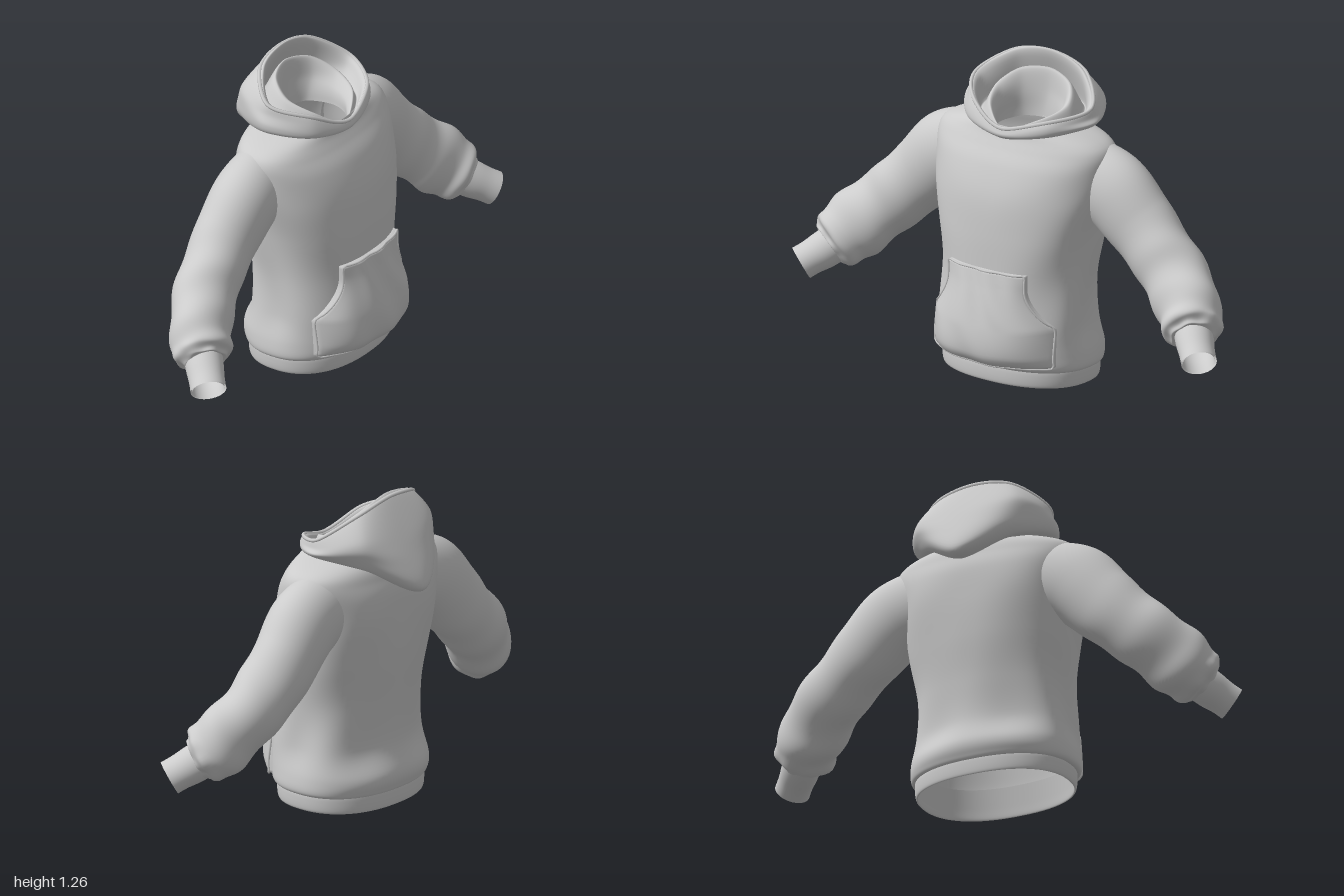
import * as THREE from 'three';

const mat = new THREE.MeshStandardMaterial({ color: 0xcccccc, side: THREE.DoubleSide });
const V = (x, y, z) => new THREE.Vector3(x, y, z);
const smooth = THREE.MathUtils.smoothstep;

// Smooth interpolation through rows of numbers, t in 0..1
function sample(rows, t) {
  const last = rows.length - 1, p = t * last, i = Math.min(Math.floor(p), last - 1), f = p - i;
  const [a, b, c, d] = [i - 1, i, i + 1, i + 2].map(k => rows[Math.max(0, Math.min(last, k))]);
  return b.map((_, k) => {
    const m0 = (c[k] - a[k]) / 2, m1 = (d[k] - b[k]) / 2, e = b[k] - c[k];
    return b[k] + f * (m0 + f * (-3 * e - 2 * m0 - m1 + f * (2 * e + m0 + m1)));
  });
}

// Skin a grid of points; rings may wrap around
function loft(name, rings, closed = true) {
  const n = rings[0].length, index = [];
  for (let i = 0; i < rings.length - 1; i++) {
    for (let j = 0; j < (closed ? n : n - 1); j++) {
      const k = (j + 1) % n, a = i * n + j, b = i * n + k;
      index.push(a, b, b + n, a, b + n, a + n);
    }
  }
  const g = new THREE.BufferGeometry().setFromPoints(rings.flat());
  g.setIndex(index);
  g.computeVertexNormals();
  return named(name, g);
}

function named(name, geometry) {
  const m = new THREE.Mesh(geometry, mat);
  m.name = name;
  return m;
}

const steps = (n, fn) => Array.from({ length: n + 1 }, (_, i) => fn(i / n));
const around = (n, fn) => Array.from({ length: n }, (_, j) => fn(j / n * Math.PI * 2));
const cord = (name, pts, r, closed = false) =>
  named(name, new THREE.TubeGeometry(new THREE.CatmullRomCurve3(pts, closed), 100, r, 6, closed));

// Torso rows: height, half width, front z, back z
const BODY = [
  [0.1, 0.3, 0.24, -0.19], [0.07, 0.318, 0.255, -0.205], [0.085, 0.336, 0.275, -0.22],
  [0.14, 0.333, 0.285, -0.23], [0.25, 0.315, 0.28, -0.192], [0.42, 0.31, 0.27, -0.2],
  [0.6, 0.335, 0.265, -0.225], [0.75, 0.362, 0.25, -0.238], [0.87, 0.382, 0.212, -0.235],
  [0.94, 0.383, 0.172, -0.215], [0.98, 0.35, 0.15, -0.2], [1.01, 0.27, 0.14, -0.18],
  [1.02, 0.2, 0.135, -0.165], [0.99, 0.12, 0.13, -0.13],
];
const POWER = 2.3;

// Rounded cross-section of the body, starting at the front
function section([y, w, f, b], tilt, fold) {
  return around(96, a => {
    const s = Math.sin(a), c = Math.cos(a);
    const r = Math.pow(Math.abs(s) ** POWER + Math.abs(c) ** POWER, -1 / POWER) * (1 + fold(a, y));
    const z = (f + b) / 2 + (f - b) / 2 * c * r;
    return V(w * s * r, y + tilt * z, z);
  });
}

// Soft drapes, strongest on the back and flanks
function drape(a, y) {
  const fade = smooth(y, 0.1, 0.25) * (1 - smooth(y, 0.75, 0.95));
  const back = (1 - Math.cos(a)) / 2, side = Math.abs(Math.sin(a));
  return fade * (0.03 * back * Math.cos(6 * a) * Math.sin(4 * y + 0.6)
    + 0.012 * side * Math.sin(14 * y + 5 * Math.abs(Math.PI - a)));
}

// Front surface of the torso at a given x and y
function frontZ(x, y) {
  const rows = BODY.slice(2);
  const i = Math.max(1, rows.findIndex(r => r[0] >= y));
  const p = rows[i - 1], q = rows[i], t = (y - p[0]) / (q[0] - p[0]);
  const [, w, f, b] = p.map((v, k) => v + (q[k] - v) * t);
  const h = Math.pow(Math.max(0, 1 - Math.abs(x / w) ** POWER), 1 / POWER);
  return (f + b) / 2 + (f - b) / 2 * h;
}

function pocket() {
  const group = new THREE.Group();
  group.name = 'frontPocket';
  const halfWidth = y => 0.278 - 0.1 * Math.sqrt(smooth(y, 0.26, 0.42));
  const at = (u, v, lift) => {
    const y = 0.1 + 0.38 * v, x = u * halfWidth(y);
    return V(x, y + 0.01 * u * u * (1 - v), frontZ(x, y) + lift);
  };
  const puff = (u, v) => 0.02 + 0.045 * Math.sin(Math.PI * Math.pow(v, 0.55)) * (1 - u ** 4)
    + 0.005 * Math.sin(9 * u + 7 * v) * (1 - u * u);
  // The outermost rows and columns sink into the torso to close the edges
  const grid = steps(36, t => steps(48, s => {
    const v = THREE.MathUtils.clamp((t * 36 - 1) / 34, 0, 1);
    const u = THREE.MathUtils.clamp((s * 48 - 1) / 46, 0, 1) * 2 - 1;
    const border = t === 0 || t === 1 || s === 0 || s === 1;
    return at(u, v, border ? -0.015 : puff(u, v));
  }));
  group.add(loft('pocketPanel', grid, false));
  const edge = (u, v) => at(u, v, puff(u, v));
  const outline = [
    ...steps(10, t => edge(-1 + 2 * t, 0)), ...steps(14, t => edge(1, t)).slice(1),
    ...steps(10, t => edge(1 - 2 * t, 1)).slice(1), ...steps(14, t => edge(-1, 1 - t)).slice(1, -1),
  ];
  group.add(cord('pocketHem', outline, 0.005, true));
  return group;
}

// Sleeve rows: centre x, y, z, radius across, radius front to back
const SLEEVE = [
  [0.27, 0.83, -0.05, 0.155, 0.12], [0.39, 0.785, -0.05, 0.16, 0.128],
  [0.5, 0.68, -0.055, 0.145, 0.125], [0.61, 0.575, -0.048, 0.138, 0.12],
  [0.71, 0.485, -0.02, 0.135, 0.118], [0.79, 0.405, 0.025, 0.132, 0.12],
  [0.835, 0.355, 0.06, 0.122, 0.115], [0.857, 0.333, 0.082, 0.095, 0.09],
  [0.862, 0.328, 0.088, 0.066, 0.066],
];
const CUFF = [
  [0.84, 0.345, 0.07, 0.075, 0.075], [0.875, 0.315, 0.105, 0.074, 0.074],
  [0.91, 0.288, 0.14, 0.068, 0.07], [0.938, 0.266, 0.168, 0.068, 0.07],
];

// Tube of changing oval section along a row path
function limb(name, rows, side, count, wrinkle, shrink = 0) {
  const centre = t => { const r = sample(rows, t); return V(r[0] * side, r[1], r[2]); };
  return loft(name, steps(count, t => {
    const [, , , rx, rz] = sample(rows, t), c = centre(t);
    const dir = centre(Math.min(1, t + 0.02)).sub(centre(Math.max(0, t - 0.02))).normalize();
    const front = V(0, 0, 1).addScaledVector(dir, -dir.z).normalize();
    const up = dir.clone().cross(front);
    return around(48, a => {
      const k = 1 + wrinkle(t, a * side);
      return c.clone().addScaledVector(front, (rz - shrink) * k * Math.cos(a))
        .addScaledVector(up, (rx - shrink) * k * Math.sin(a));
    });
  }));
}

function sleeve(side) {
  const group = new THREE.Group();
  group.name = side > 0 ? 'leftSleeve' : 'rightSleeve';
  const creases = (t, a) => smooth(t, 0.15, 0.45) * (1 - smooth(t, 0.88, 1))
    * (0.035 * Math.sin(34 * t + 2.2 * Math.cos(a)) + 0.025 * Math.sin(19 * t - 2 * a))
    + 0.04 * smooth(t, 0.7, 0.85) * Math.sin(7 * a);
  group.add(limb('sleeve', SLEEVE, side, 90, creases));
  group.add(limb('cuff', CUFF, side, 14, () => 0));
  group.add(limb('cuffLining', CUFF, side, 14, () => 0, 0.006));
  return group;
}

// Hood rings from the outer base, over the rim, down to the neck.
// Each holds front, front side, side, back side and back points.
const HOOD = [
  [0, 0.98, 0.15, 0.14, 1.0, 0.11, 0.22, 1.01, -0.03, 0.17, 0.99, -0.17, 0, 0.97, -0.2],
  [0, 0.99, 0.165, 0.18, 1.01, 0.115, 0.28, 1.03, -0.03, 0.19, 0.99, -0.2, 0, 0.885, -0.28],
  [0, 1.0, 0.17, 0.19, 1.03, 0.12, 0.298, 1.06, -0.04, 0.205, 1.04, -0.22, 0, 0.91, -0.345],
  [0, 1.01, 0.168, 0.19, 1.06, 0.115, 0.285, 1.09, -0.05, 0.205, 1.12, -0.215, 0, 1.07, -0.275],
  [0, 1.025, 0.16, 0.18, 1.085, 0.105, 0.272, 1.125, -0.04, 0.165, 1.21, -0.155, 0, 1.24, -0.175],
  [0, 1.02, 0.148, 0.165, 1.075, 0.095, 0.25, 1.115, -0.04, 0.15, 1.195, -0.14, 0, 1.225, -0.16],
  [0, 1.0, 0.145, 0.14, 1.03, 0.09, 0.21, 1.03, -0.03, 0.16, 1.06, -0.16, 0, 1.08, -0.21],
  [0, 1.015, 0.14, 0.12, 1.07, 0.08, 0.165, 1.11, -0.03, 0.115, 1.16, -0.12, 0, 1.18, -0.155],
  [0, 1.0, 0.135, 0.09, 1.03, 0.075, 0.125, 1.05, -0.01, 0.095, 1.07, -0.1, 0, 1.08, -0.14],
  [0, 0.97, 0.13, 0.08, 0.98, 0.085, 0.115, 0.98, 0, 0.08, 0.98, -0.1, 0, 0.98, -0.13],
];

// Mirror a half ring into a smooth loop, sagging slightly to one side
function hoodRing(row, count) {
  const half = steps(4, t => V(...row.slice(Math.round(t * 4) * 3, Math.round(t * 4) * 3 + 3)));
  const other = half.slice(1, 4).reverse().map(p => V(-p.x, p.y, p.z));
  const curve = new THREE.CatmullRomCurve3([...half, ...other], true, 'catmullrom', 0.45);
  return around(count, a => {
    const p = curve.getPoint(a / (Math.PI * 2));
    return V(p.x + 0.012 * smooth(p.y, 1, 1.1), p.y - 0.07 * p.x * smooth(p.y, 1.02, 1.1), p.z);
  });
}

export function createModel() {
  const model = new THREE.Group();
  model.name = 'hoodedSweatshirt';

  model.add(loft('torso', steps(104, t => section(sample(BODY, t), 0.04, drape))));

  // Ribbed hem, folded back inside
  const band = [[0.13, 0.3, 0.24, -0.19], [0.08, 0.318, 0.257, -0.207], [0.045, 0.32, 0.26, -0.21],
    [0.012, 0.316, 0.257, -0.208], [0.008, 0.308, 0.25, -0.202], [0.05, 0.304, 0.245, -0.196],
    [0.13, 0.296, 0.235, -0.186]];
  model.add(loft('waistband', steps(30, t => section(sample(band, t), 0.035, () => 0))));

  model.add(pocket(), sleeve(1), sleeve(-1));

  // Lowered hood with its rim hem
  const hood = new THREE.Group();
  hood.name = 'hood';
  hood.add(loft('hoodFabric', steps(72, t => hoodRing(sample(HOOD, t), 96))));
  hood.add(cord('hoodRim', hoodRing(HOOD[4], 40), 0.008, true));
  model.add(hood);
  return model;
}
